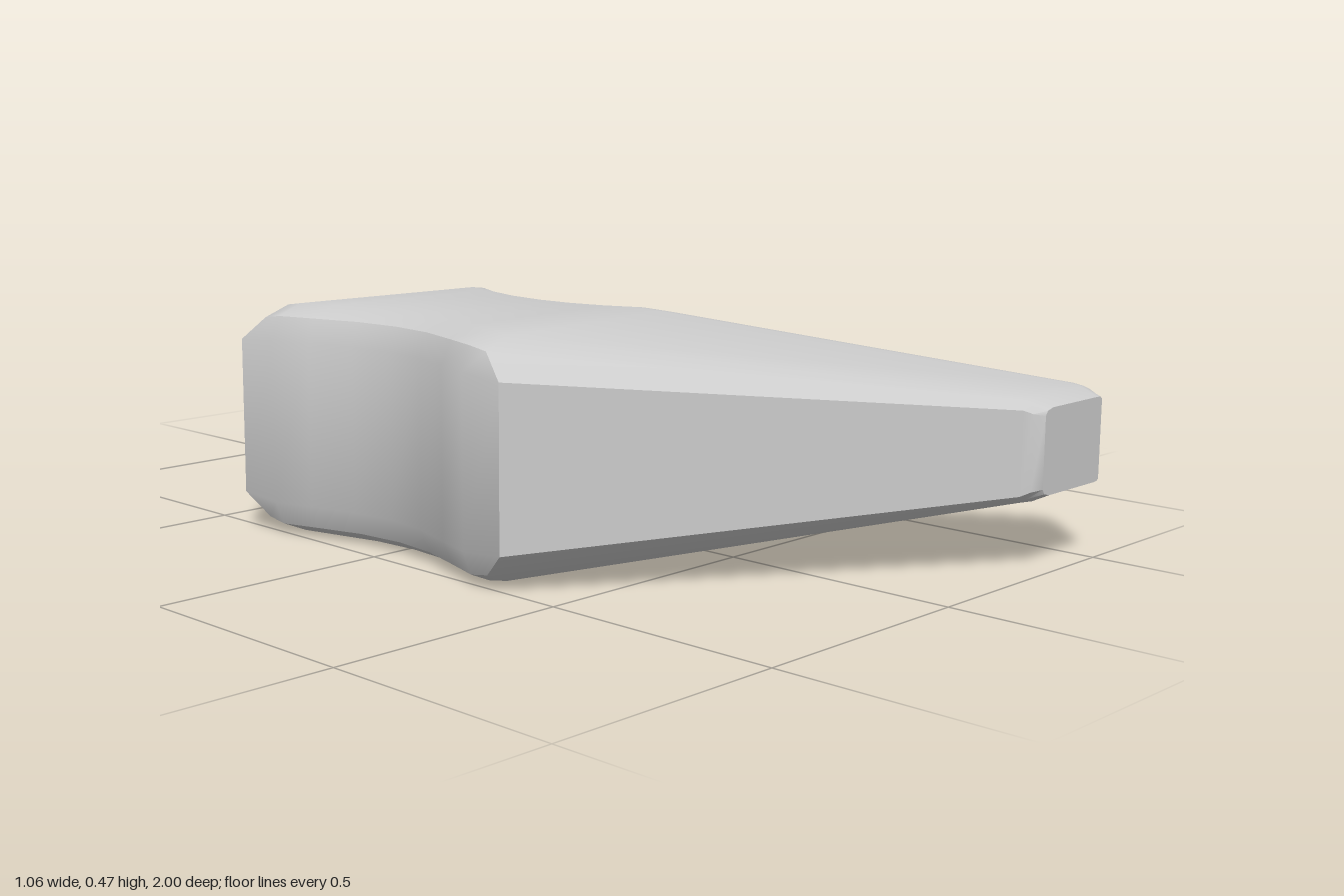
import * as THREE from 'three';
import { toCreasedNormals } from 'three/addons/utils/BufferGeometryUtils.js';

const MID = 0.2375; // mid height of the slab

// Stations from the middle to one tip:
// outer x,z, bevel inset x,z, inner x,z, bevel inset x,z, top height, bevel scale
const HALF = [
  [-0.465, 0, 0.02, 0, -0.03, 0, -0.02, 0, 0.475, 1],
  [-0.475, 0.1, 0.02, 0.003, -0.022, 0.09, -0.02, 0.005, 0.475, 1],
  [-0.505, 0.2, 0.02, 0.005, 0.0, 0.165, -0.02, 0.01, 0.475, 1],
  [-0.53, 0.285, 0.02, 0.0, 0.03, 0.225, -0.02, 0.012, 0.475, 1],
  [-0.53, 0.385, 0.02, -0.055, 0.06, 0.27, -0.02, 0.012, 0.468, 1],
  [0.265, 0.973, 0.018, -0.02, 0.522, 0.928, -0.015, 0.005, 0.341, 0.3],
  [0.282, 0.986, 0.012, -0.015, 0.526, 0.96, -0.015, -0.005, 0.337, 0.35],
  [0.302, 1.0, 0.006, 0, 0.505, 1.0, -0.006, 0, 0.322, 0.2],
];

// Twelve-point bevelled cross-section of one station
function section([ox, oz, dx, dz, ix, iz, ex, ez, top, k], side) {
  const a = [ox + dx, oz + dz], b = [ix + ex, iz + ez];
  const mix = (p, q, t) => [p[0] + (q[0] - p[0]) * t, p[1] + (q[1] - p[1]) * t];
  const half = [
    [[ox, oz], top - 0.07 * k],
    [a, top - 0.022 * k],
    [mix(a, b, 0.1), top],
    [mix(b, a, 0.06), top],
    [b, top - 0.004 * k],
    [[ix, iz], top - 0.025 * k],
  ].map(([[x, z], y]) => [x, y, side * z + 0.012 * (1 - Math.abs(z))]);
  const lower = half.map(([x, y, z]) => [x, 2 * MID - y, z]).reverse();
  return [...half, ...lower];
}

// Closed skin through the rings, capped at both ends
function loft(rings) {
  const n = rings[0].length, last = (rings.length - 1) * n, index = [];
  for (let s = 0; s < rings.length - 1; s++) {
    for (let j = 0; j < n; j++) {
      const a = s * n + j, b = s * n + (j + 1) % n;
      index.push(a, a + n, b + n, a, b + n, b);
    }
  }
  for (let j = 1; j < n - 1; j++) {
    index.push(0, j, j + 1, last, last + j + 1, last + j);
  }
  const geometry = new THREE.BufferGeometry();
  geometry.setAttribute('position', new THREE.Float32BufferAttribute(rings.flat(2), 3));
  geometry.setIndex(index);
  return toCreasedNormals(geometry, 0.6);
}

export function createModel() {
  const group = new THREE.Group();
  group.name = 'boomerang';

  // Both arms mirrored about the middle
  const rings = [
    ...HALF.slice(1).reverse().map((row) => section(row, -1)),
    ...HALF.map((row) => section(row, 1)),
  ];
  const body = new THREE.Mesh(loft(rings), new THREE.MeshStandardMaterial({ color: 0xcccccc }));
  body.name = 'boomerangBody';
  group.add(body);
  return group;
}
